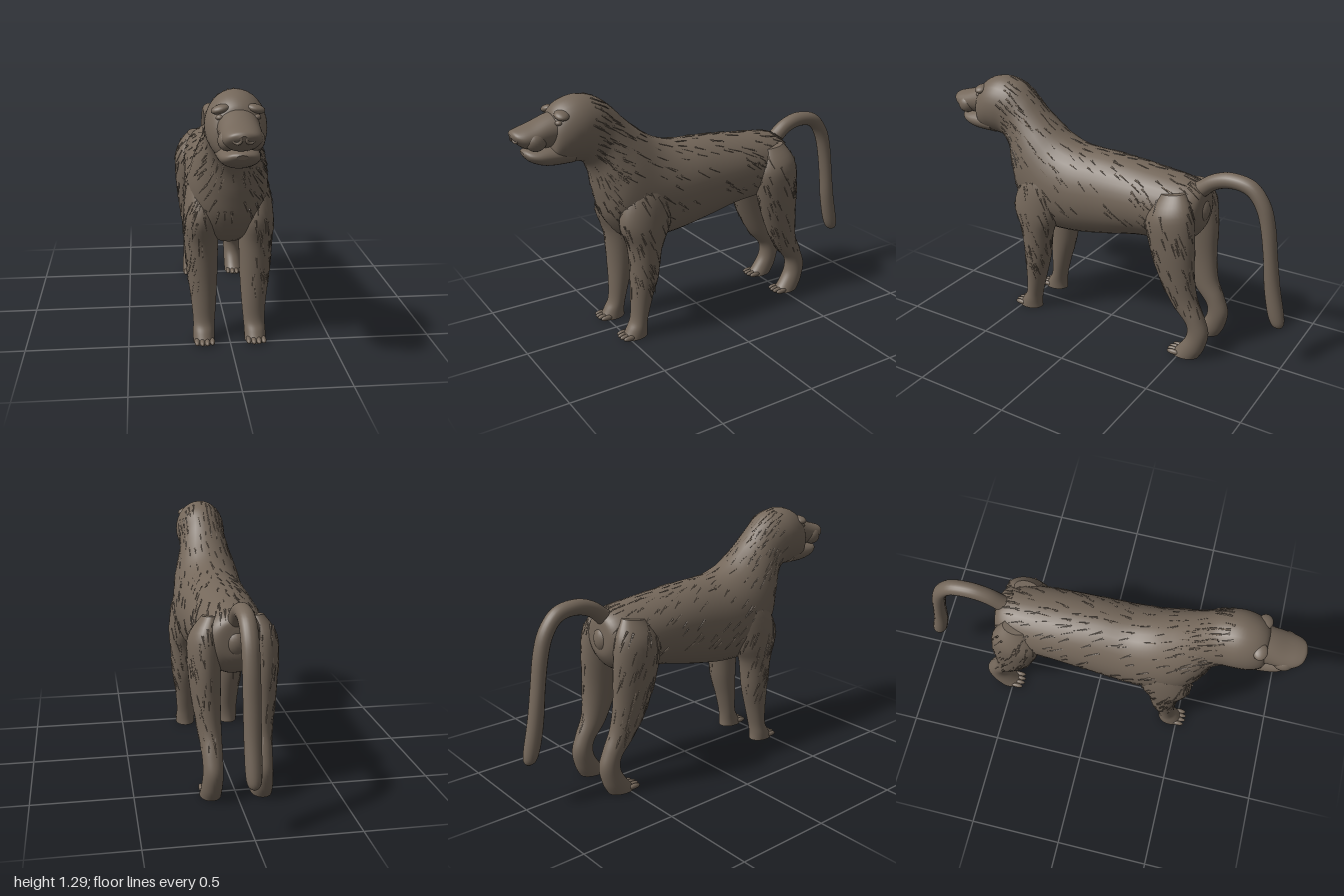
import * as THREE from 'three';
import { mergeGeometries } from 'three/addons/utils/BufferGeometryUtils.js';

const fur = new THREE.MeshStandardMaterial({ color: 0x74675a });
fur.name = 'brownFur';

let seed = 7;
const rand = () => (seed = (seed * 16807) % 2147483647) / 2147483647;

const catmull = (a, b, c, d, t) => 0.5 * (2 * b + (c - a) * t + (2 * a - 5 * b + 4 * c - d) * t * t + (3 * b - a - 3 * c + d) * t * t * t);

// Smooth skin through cross-sections [x, z1, y1, z2, y2, halfWidth];
// (z1, y1) and (z2, y2) are opposite ends of the section in side profile.
function loft(sections, sub = 5, sides = 32) {
  const rings = [];
  const n = sections.length;
  const at = (i) => sections[Math.min(n - 1, Math.max(0, i))];
  for (let i = 0; i < n - 1; i++) {
    for (let k = 0; k < sub; k++) {
      rings.push(at(i).map((v, c) => catmull(at(i - 1)[c], v, at(i + 1)[c], at(i + 2)[c], k / sub)));
    }
  }
  rings.push(at(n - 1));
  const pos = [], index = [];
  const addRing = ([x, z1, y1, z2, y2, w]) => {
    for (let j = 0; j < sides; j++) {
      const a = (j / sides) * Math.PI * 2, s = Math.sin(a) / 2;
      pos.push(x + w * Math.cos(a), (y1 + y2) / 2 + (y1 - y2) * s, (z1 + z2) / 2 + (z1 - z2) * s);
    }
  };
  rings.forEach(addRing);
  for (let i = 0; i < rings.length - 1; i++) {
    for (let j = 0; j < sides; j++) {
      const a = i * sides + j, b = i * sides + (j + 1) % sides;
      index.push(a, b, a + sides, b, b + sides, a + sides);
    }
  }
  // End caps
  [rings[0], rings[rings.length - 1]].forEach((r, end) => {
    const base = pos.length / 3;
    addRing(r);
    pos.push(r[0], (r[2] + r[4]) / 2, (r[1] + r[3]) / 2);
    for (let j = 0; j < sides; j++) {
      const a = base + j, b = base + (j + 1) % sides;
      index.push(base + sides, end ? a : b, end ? b : a);
    }
  });
  const g = new THREE.BufferGeometry();
  g.setAttribute('position', new THREE.Float32BufferAttribute(pos, 3));
  g.setIndex(index);
  g.computeVertexNormals();
  return g;
}

// Thin locks of hair lying along a surface, following the flow direction
function tufts(surface, count, flow, allowed) {
  const p = surface.attributes.position, nrm = surface.attributes.normal;
  const list = [];
  const up = new THREE.Vector3(0, 1, 0);
  for (let tries = 0; list.length < count && tries < count * 20; tries++) {
    const i = Math.floor(rand() * p.count);
    const v = new THREE.Vector3().fromBufferAttribute(p, i);
    const normal = new THREE.Vector3().fromBufferAttribute(nrm, i);
    if (!allowed(v, normal)) continue;
    const dir = flow.clone();
    dir.x += (rand() - 0.5) * 0.3;
    dir.y += (rand() - 0.5) * 0.3;
    dir.addScaledVector(normal, -dir.dot(normal)).normalize().addScaledVector(normal, 0.1).normalize();
    const lock = new THREE.ConeGeometry(0.006, 0.05 + rand() * 0.04, 5);
    lock.applyQuaternion(new THREE.Quaternion().setFromUnitVectors(up, dir));
    v.addScaledVector(normal, -0.001).addScaledVector(dir, (rand() - 0.5) * 0.03);
    lock.translate(v.x, v.y, v.z);
    list.push(lock);
  }
  return mergeGeometries(list);
}

export function createModel() {
  const model = new THREE.Group();
  model.name = 'monkey';
  const add = (name, geometry) => {
    const m = new THREE.Mesh(geometry, fur);
    m.name = name;
    model.add(m);
    return m;
  };
  const ball = (name, x, y, z, rx, ry, rz) => {
    const m = add(name, new THREE.SphereGeometry(1, 20, 14));
    m.position.set(x, y, z);
    m.scale.set(rx, ry, rz);
    return m;
  };

  // Rump, trunk, neck and skull
  const body = loft([
    [0, -0.545, 0.84, -0.55, 0.74, 0.03],
    [0, -0.535, 0.885, -0.54, 0.68, 0.1],
    [0, -0.49, 0.915, -0.48, 0.61, 0.15],
    [0, -0.4, 0.935, -0.36, 0.585, 0.172],
    [0, -0.2, 0.957, -0.2, 0.57, 0.185],
    [0, 0, 0.975, 0, 0.525, 0.192],
    [0, 0.16, 0.983, 0.22, 0.49, 0.2],
    [0, 0.27, 1.02, 0.42, 0.5, 0.198],
    [0, 0.36, 1.08, 0.54, 0.62, 0.182],
    [0, 0.43, 1.14, 0.585, 0.76, 0.155],
    [0, 0.5, 1.21, 0.61, 0.88, 0.132],
    [0, 0.57, 1.262, 0.65, 0.95, 0.133],
    [0, 0.66, 1.286, 0.71, 0.966, 0.138],
    [0, 0.74, 1.272, 0.77, 0.968, 0.128],
    [0, 0.795, 1.235, 0.82, 0.985, 0.1],
    [0, 0.815, 1.19, 0.835, 1.03, 0.05],
  ]);
  add('body', body);
  add('bodyFur', tufts(body, 380, new THREE.Vector3(0, -0.6, -0.8),
    (v, n) => v.z < 0.62 && v.z > -0.52 && n.y > -0.45));

  // Muzzle and lower jaw, parted along the mouth
  add('muzzle', loft([
    [0, 0.72, 1.24, 0.72, 1.06, 0.1],
    [0, 0.82, 1.212, 0.82, 1.055, 0.092],
    [0, 0.9, 1.182, 0.9, 1.058, 0.09],
    [0, 0.96, 1.165, 0.945, 1.07, 0.08],
    [0, 0.99, 1.155, 0.98, 1.1, 0.055],
    [0, 1, 1.14, 0.995, 1.12, 0.02],
  ]));
  add('lowerJaw', loft([
    [0, 0.72, 1.08, 0.72, 0.966, 0.1],
    [0, 0.82, 1.075, 0.83, 0.968, 0.093],
    [0, 0.89, 1.065, 0.89, 0.985, 0.083],
    [0, 0.935, 1.06, 0.925, 1.005, 0.06],
    [0, 0.95, 1.05, 0.945, 1.03, 0.025],
  ]));

  // Tail, inner edge of the arch first
  add('tail', loft([
    [0, -0.47, 0.81, -0.44, 0.89, 0.04],
    [0, -0.535, 0.845, -0.49, 0.918, 0.042],
    [0, -0.6, 0.9, -0.57, 0.973, 0.041],
    [0, -0.68, 0.922, -0.67, 1, 0.041],
    [0, -0.76, 0.908, -0.79, 0.978, 0.041],
    [0, -0.81, 0.845, -0.87, 0.89, 0.041],
    [0, -0.84, 0.75, -0.91, 0.77, 0.041],
    [0, -0.865, 0.6, -0.935, 0.6, 0.041],
    [0, -0.88, 0.45, -0.96, 0.45, 0.04],
    [0, -0.905, 0.32, -0.993, 0.3, 0.038],
    [0, -0.93, 0.255, -0.995, 0.25, 0.03],
    [0, -0.955, 0.234, -0.98, 0.232, 0.01],
  ], 5, 20));

  ball('rumpPad', 0, 0.77, -0.515, 0.058, 0.068, 0.05);

  for (const s of [1, -1]) {
    const side = s > 0 ? 'left' : 'right';
    const mirror = (list) => list.map(([x, ...rest]) => [s * x, ...rest]);

    // Front leg from shoulder to paw
    const front = loft(mirror([
      [0.1, 0.38, 0.93, 0.28, 0.92, 0.03],
      [0.12, 0.47, 0.8, 0.23, 0.76, 0.078],
      [0.135, 0.525, 0.64, 0.25, 0.6, 0.086],
      [0.134, 0.485, 0.5, 0.3, 0.49, 0.083],
      [0.13, 0.472, 0.35, 0.325, 0.33, 0.075],
      [0.125, 0.47, 0.2, 0.36, 0.2, 0.062],
      [0.125, 0.475, 0.1, 0.385, 0.1, 0.054],
      [0.128, 0.5, 0.05, 0.392, 0.04, 0.053],
      [0.128, 0.53, 0, 0.39, 0, 0.053],
    ]));
    add(side + 'FrontLeg', front);

    // Hind leg with bent hock
    const hind = loft(mirror([
      [0.11, -0.35, 0.87, -0.48, 0.89, 0.04],
      [0.135, -0.29, 0.75, -0.535, 0.8, 0.082],
      [0.14, -0.315, 0.59, -0.555, 0.65, 0.08],
      [0.135, -0.375, 0.42, -0.558, 0.48, 0.068],
      [0.125, -0.45, 0.28, -0.575, 0.34, 0.056],
      [0.122, -0.525, 0.19, -0.615, 0.24, 0.05],
      [0.122, -0.53, 0.12, -0.645, 0.15, 0.05],
      [0.125, -0.495, 0.055, -0.63, 0.06, 0.052],
      [0.127, -0.45, 0, -0.6, 0, 0.053],
    ]));
    add(side + 'HindLeg', hind);

    for (const [name, g] of [['FrontLegFur', front], ['HindLegFur', hind]]) {
      add(side + name, tufts(g, 75, new THREE.Vector3(0, -1, -0.4),
        (v, n) => v.y > 0.25 && v.y < 0.82 && n.x * s > -0.3));
    }

    // Toes
    for (let i = 0; i < 4; i++) {
      const x = s * (0.09 + i * 0.025);
      const reach = i === 1 || i === 2 ? 0.008 : 0;
      ball(side + 'FrontToe', x, 0.014, 0.508 + reach, 0.013, 0.014, 0.035);
      ball(side + 'HindToe', x, 0.014, -0.473 + reach, 0.013, 0.014, 0.035);
    }

    // Face details
    const brow = ball(side + 'Brow', s * 0.076, 1.215, 0.775, 0.042, 0.02, 0.035);
    brow.rotation.z = -s * 0.25;
    ball(side + 'Eye', s * 0.078, 1.182, 0.79, 0.02, 0.013, 0.02);
    ball(side + 'Cheek', s * 0.06, 1.105, 0.9, 0.04, 0.045, 0.05);
    const nostril = add(side + 'Nostril', new THREE.TorusGeometry(0.017, 0.007, 8, 18));
    nostril.position.set(s * 0.027, 1.125, 0.986);
    nostril.rotation.y = s * 0.35;
  }
  return model;
}
